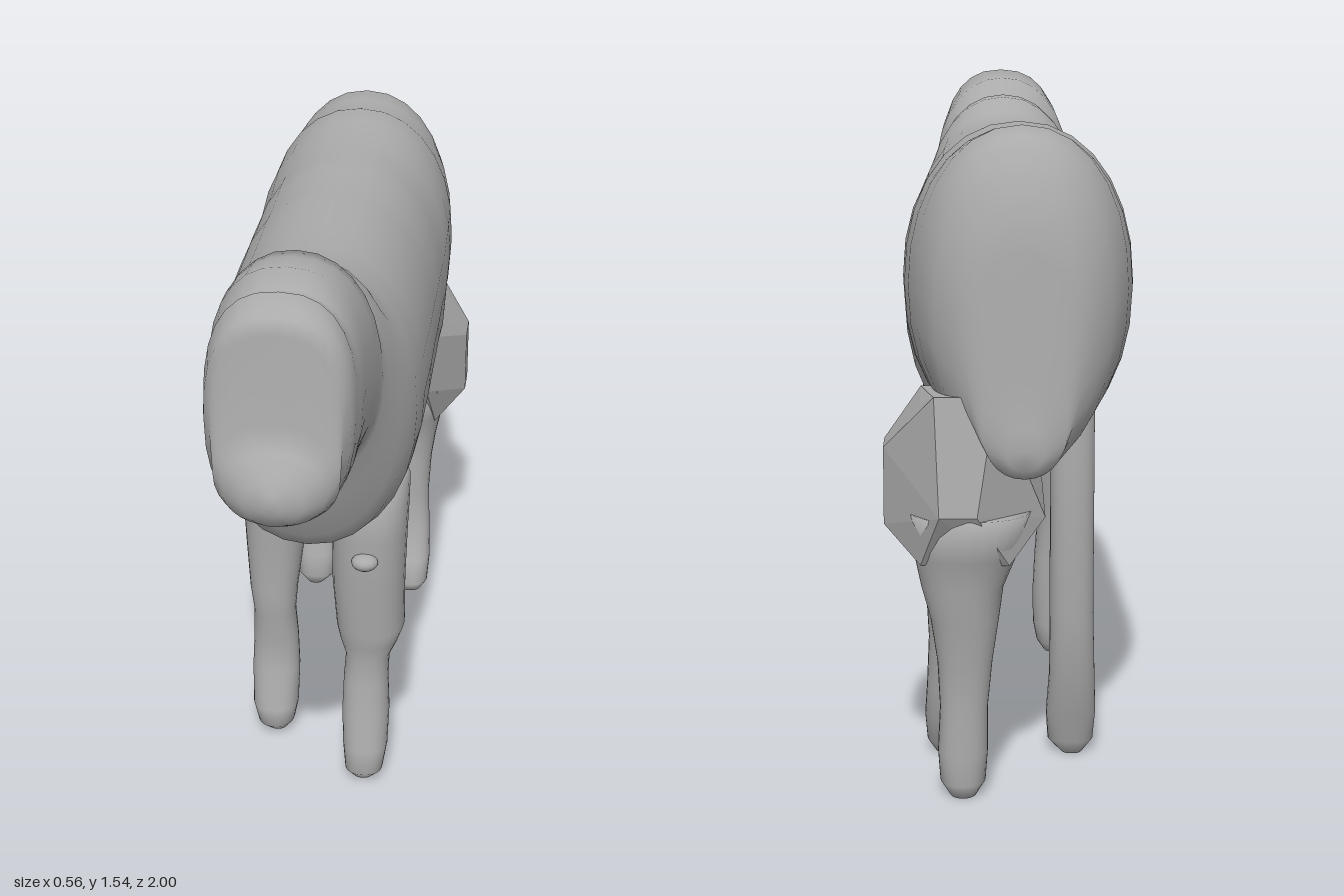
import * as THREE from 'three';
import { ConvexGeometry } from 'three/addons/geometries/ConvexGeometry.js';

const N = 28; // points around each cross-section
const CX = -0.02; // centre line of the body

// Closed skin over a list of rings, with a fan at each end
function loft(rings) {
  const pos = [], idx = [], n = rings[0].length;
  rings.forEach(r => r.forEach(p => pos.push(...p)));
  for (let i = 0; i < rings.length - 1; i++) {
    for (let j = 0; j < n; j++) {
      const k = (j + 1) % n, a = i * n + j, b = i * n + k;
      idx.push(a, b, a + n, b, b + n, a + n);
    }
  }
  [0, rings.length - 1].forEach((i, end) => {
    const c = pos.length / 3;
    pos.push(...[0, 1, 2].map(q => rings[i].reduce((s, p) => s + p[q], 0) / n));
    for (let j = 0; j < n; j++) {
      const a = i * n + j, b = i * n + (j + 1) % n;
      if (end) idx.push(a, b, c); else idx.push(b, a, c);
    }
  });
  const g = new THREE.BufferGeometry();
  g.setAttribute('position', new THREE.Float32BufferAttribute(pos, 3));
  g.setIndex(idx);
  g.computeVertexNormals();
  return g;
}

const angles = Array.from({ length: N }, (_, j) => j / N * Math.PI * 2);
const power = (v, e) => Math.sign(v) * Math.abs(v) ** (2 / e);

// Upright section of the body: z, bottom, top, half width, squareness
const bodyRing = ([z, y0, y1, w, e = 2.15]) => angles.map(a => [
  CX + w * power(Math.cos(a), e),
  (y0 + y1) / 2 + (y1 - y0) / 2 * power(Math.sin(a), e), z]);

// Level section of a leg: y, x range, z range
const legRing = ([y, x0, x1, z0, z1]) => angles.map(a => [
  (x0 + x1) / 2 + (x1 - x0) / 2 * power(Math.sin(a), 2.3), y,
  (z0 + z1) / 2 + (z1 - z0) / 2 * power(Math.cos(a), 2.3)]);

// Rump to chest
const TRUNK = [
  [-1.0, 0.75, 0.84, 0.04], [-0.98, 0.73, 0.95, 0.09], [-0.965, 0.73, 1.2, 0.12],
  [-0.945, 0.73, 1.31, 0.15], [-0.9, 0.74, 1.4, 0.19], [-0.86, 0.75, 1.44, 0.21],
  [-0.81, 0.76, 1.46, 0.23], [-0.74, 0.76, 1.455, 0.245], [-0.68, 0.76, 1.45, 0.25],
  [-0.64, 0.75, 1.46, 0.255], [-0.57, 0.74, 1.45, 0.258], [-0.51, 0.77, 1.44, 0.26],
  [-0.43, 0.71, 1.435, 0.26], [-0.37, 0.665, 1.43, 0.26], [-0.31, 0.685, 1.43, 0.26],
  [-0.24, 0.7, 1.425, 0.26], [-0.12, 0.7, 1.415, 0.26], [-0.05, 0.7, 1.42, 0.26],
  [0.1, 0.7, 1.41, 0.26], [0.28, 0.7, 1.41, 0.258], [0.33, 0.7, 1.415, 0.255],
  [0.4, 0.705, 1.42, 0.25], [0.46, 0.725, 1.44, 0.235],
];

// Neck, poll, forehead, face and muzzle
const HEAD = [
  [0.5, 0.77, 1.475, 0.22], [0.55, 0.88, 1.48, 0.2], [0.585, 0.96, 1.475, 0.19],
  [0.6, 0.98, 1.525, 0.187], [0.65, 1.005, 1.53, 0.18, 2.3], [0.75, 1.015, 1.545, 0.17, 2.4],
  [0.8, 1.02, 1.515, 0.168, 2.4], [0.83, 1.02, 1.51, 0.165, 2.5], [0.85, 1.02, 1.53, 0.162, 2.5],
  [0.87, 1.025, 1.5, 0.16, 2.5], [0.895, 1.03, 1.49, 0.155, 2.5], [0.915, 1.035, 1.46, 0.14, 2.4],
  [0.92, 1.035, 1.26, 0.135, 2.3], [0.955, 1.045, 1.215, 0.11, 2.2],
  [0.985, 1.06, 1.17, 0.065, 2], [1.0, 1.09, 1.14, 0.02, 2],
];

// Legs from hoof to top
const LEGS = {
  frontLeftLeg: [
    [0.0, 0.08, 0.13, 0.33, 0.38], [0.03, 0.06, 0.155, 0.31, 0.41], [0.09, 0.052, 0.165, 0.28, 0.4],
    [0.18, 0.047, 0.167, 0.255, 0.38], [0.27, 0.05, 0.163, 0.26, 0.365], [0.34, 0.055, 0.165, 0.255, 0.36],
    [0.38, 0.04, 0.185, 0.22, 0.37], [0.42, 0.03, 0.2, 0.2, 0.375], [0.55, 0.02, 0.2, 0.2, 0.385],
    [0.7, 0.02, 0.205, 0.2, 0.4], [0.78, 0.02, 0.208, 0.2, 0.39], [0.83, 0.03, 0.208, 0.2, 0.36],
    [0.85, 0.06, 0.2, 0.22, 0.34]],
  frontRightLeg: [
    [0.0, -0.17, -0.12, 0.13, 0.19], [0.03, -0.195, -0.1, 0.1, 0.225], [0.08, -0.208, -0.09, 0.1, 0.225],
    [0.18, -0.212, -0.088, 0.09, 0.19], [0.27, -0.208, -0.092, 0.085, 0.185], [0.35, -0.205, -0.098, 0.08, 0.2],
    [0.42, -0.215, -0.092, 0.07, 0.2], [0.55, -0.225, -0.075, 0.04, 0.2], [0.64, -0.23, -0.065, 0.015, 0.21],
    [0.72, -0.235, -0.06, -0.01, 0.21], [0.84, -0.22, -0.07, -0.01, 0.2]],
  hindRightLeg: [
    [0.0, -0.17, -0.12, -0.64, -0.58], [0.03, -0.195, -0.09, -0.65, -0.565], [0.1, -0.2, -0.085, -0.67, -0.57],
    [0.2, -0.195, -0.09, -0.7, -0.61], [0.35, -0.19, -0.09, -0.72, -0.62], [0.6, -0.19, -0.09, -0.72, -0.62],
    [0.9, -0.19, -0.09, -0.72, -0.62]],
  hindLeftFrontLeg: [
    [0.0, 0.11, 0.17, -0.63, -0.57], [0.03, 0.09, 0.19, -0.65, -0.55], [0.1, 0.08, 0.195, -0.685, -0.57],
    [0.18, 0.08, 0.19, -0.7, -0.62], [0.3, 0.065, 0.185, -0.73, -0.62], [0.4, 0.045, 0.19, -0.75, -0.62],
    [0.47, 0.03, 0.2, -0.78, -0.62], [0.54, 0.01, 0.215, -0.82, -0.605], [0.64, 0.0, 0.23, -0.82, -0.57]],
  hindLeftRearLeg: [
    [0.0, 0.08, 0.14, -0.91, -0.82], [0.03, 0.06, 0.16, -0.92, -0.8], [0.1, 0.055, 0.165, -0.92, -0.81],
    [0.2, 0.055, 0.16, -0.915, -0.82], [0.3, 0.045, 0.165, -0.92, -0.81], [0.4, 0.03, 0.18, -0.935, -0.79],
    [0.47, 0.02, 0.2, -0.945, -0.765], [0.54, -0.01, 0.215, -0.955, -0.74], [0.64, -0.04, 0.23, -0.99, -0.72]],
};

// Faceted thigh block carrying the pair of hind legs
const THIGH = [
  [0.03, 0.87, -0.64], [0.2, 0.87, -0.64], [0.2, 0.87, -0.85], [0.04, 0.9, -0.95], [0.17, 0.9, -0.95],
  [0.2, 0.82, -0.59], [0.05, 0.82, -0.59], [0.28, 0.77, -0.73], [0.28, 0.77, -0.83],
  [0.28, 0.6, -0.73], [0.28, 0.6, -0.83], [0.08, 0.66, -0.565], [0.18, 0.66, -0.565],
  [0.08, 0.65, -0.995], [0.16, 0.65, -0.995], [-0.07, 0.67, -0.7], [-0.07, 0.62, -0.86],
  [0.02, 0.54, -0.64], [0.2, 0.53, -0.65], [0.01, 0.53, -0.93], [0.2, 0.53, -0.92],
];

export function createModel() {
  const model = new THREE.Group();
  model.name = 'calf';
  const grey = new THREE.MeshStandardMaterial({ color: 0xaaaaaa });
  grey.name = 'plain grey';
  const add = (name, geometry, material = grey) => {
    const mesh = new THREE.Mesh(geometry, material);
    mesh.name = name;
    model.add(mesh);
    return mesh;
  };

  // Trunk, neck and head are one continuous skin
  add('bodyAndHead', loft([...TRUNK, ...HEAD].map(bodyRing)));

  for (const [name, rows] of Object.entries(LEGS)) add(name, loft(rows.map(legRing)));

  add('hindLeftThigh', new ConvexGeometry(THIGH.map(p => new THREE.Vector3(...p))));

  // Knee bumps on the front legs
  [['leftKnee', 0.11, 0.65, 0.4], ['rightKnee', -0.15, 0.64, 0.2]].forEach(([name, x, y, z]) => {
    const knee = add(name, new THREE.SphereGeometry(0.03, 14, 10));
    knee.scale.set(1.1, 0.7, 1);
    knee.position.set(x, y, z);
  });
  return model;
}
